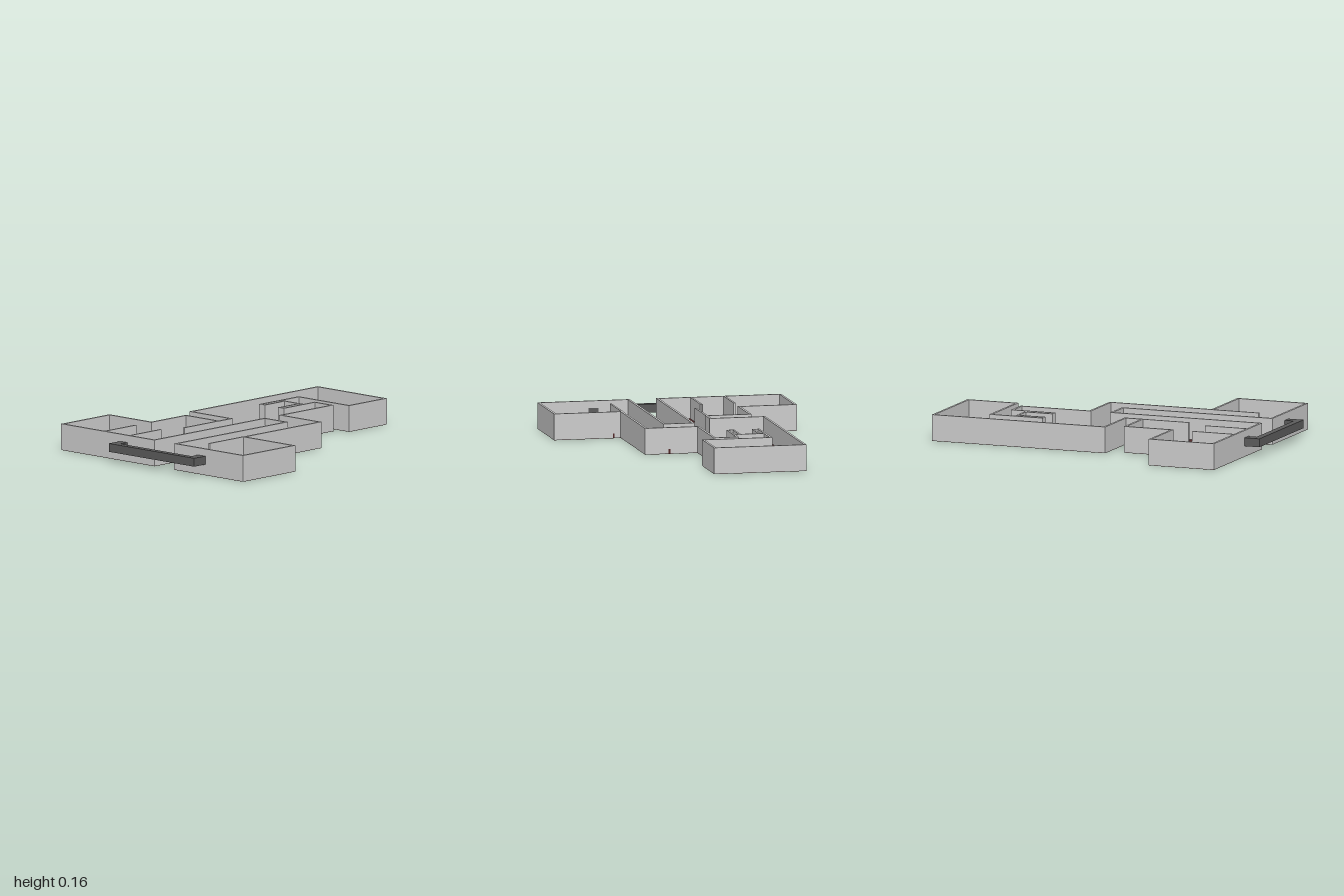
import * as THREE from 'three';

const H = 0.157, T = 0.014, FLOOR = 0.03;

// Outer footprint as [x, z], clockwise seen from above
const OUTLINE = [
  [-0.905, -0.735], [-0.492, -0.735], [-0.492, -0.396], [-0.196, -0.396], [-0.196, -0.133], [-0.103, -0.133],
  [-0.103, -0.457], [0.997, -0.457], [0.997, 0.1], [0.674, 0.1], [0.674, -0.306], [0.532, -0.306],
  [0.532, -0.133], [0.627, -0.133], [0.627, 0.019], [0.191, 0.019], [0.191, 0.334], [-0.457, 0.334],
  [-0.457, 0.735], [-0.905, 0.735], [-0.905, 0.178], [0.04, 0.178], [0.04, 0.019], [-0.905, 0.019],
];

// Moves every edge of the right-angled footprint inwards by d
function inset(points, d) {
  const n = points.length;
  const normal = (a, b) => [-Math.sign(b[1] - a[1]), Math.sign(b[0] - a[0])];
  return points.map((p, i) => {
    const a = normal(points[(i + n - 1) % n], p), b = normal(p, points[(i + 1) % n]);
    return [p[0] + d * (a[0] + b[0]), p[1] + d * (a[1] + b[1])];
  });
}

// Counter-clockwise points, so that extruded outlines and holes both face outwards
const toVectors = (points) => points.map(([x, z]) => new THREE.Vector2(x, -z)).reverse();

function extrudeUp(shape, y0, y1) {
  return new THREE.ExtrudeGeometry(shape, { depth: y1 - y0, bevelEnabled: false })
    .rotateX(-Math.PI / 2).translate(0, y0, 0);
}

export function createModel() {
  const model = new THREE.Group();
  const wallMat = new THREE.MeshStandardMaterial({ color: 0xcccccc });
  const floorMat = new THREE.MeshStandardMaterial({ color: 0x502626 });
  const ductMat = new THREE.MeshStandardMaterial({ color: 0x5c5c5c });

  function add(name, geometry, material, parent = model) {
    const mesh = new THREE.Mesh(geometry, material);
    mesh.name = name;
    parent.add(mesh);
    return mesh;
  }
  function box(name, [x0, x1], [y0, y1], [z0, z1], material, parent) {
    const mesh = add(name, new THREE.BoxGeometry(x1 - x0, y1 - y0, z1 - z0), material, parent);
    mesh.position.set((x0 + x1) / 2, (y0 + y1) / 2, (z0 + z1) / 2);
  }

  // Outer walls, and the floor slab reaching under them
  const ring = new THREE.Shape(toVectors(OUTLINE));
  ring.holes.push(new THREE.Path(toVectors(inset(OUTLINE, T))));
  add('outerWalls', extrudeUp(ring, 0.002, H), wallMat);
  add('floor', extrudeUp(new THREE.Shape(toVectors(inset(OUTLINE, 0.001))), 0, FLOOR), floorMat);

  // Partitions: x range, z range
  const partitions = new THREE.Group();
  partitions.name = 'partitions';
  model.add(partitions);
  [
    [[-0.892, -0.63], [-0.397, -0.385]],
    [[-0.892, -0.63], [-0.196, -0.184]],
    [[-0.5, -0.2], [-0.133, -0.121]],
    [[-0.76, -0.46], [0.317, 0.329]],
    // Two narrow alcoves beside the notch
    [[0.35, 0.535], [-0.32, -0.307]],
    [[0.35, 0.361], [-0.307, -0.285]],
    [[0.35, 0.52], [-0.285, -0.273]],
    [[0.35, 0.52], [-0.168, -0.156]],
    [[0.35, 0.361], [-0.156, -0.133]],
    [[0.35, 0.535], [-0.132, -0.12]],
  ].forEach(([x, z]) => box('partition', x, [0.01, H], z, wallMat, partitions));

  // Floor edges showing through the walls
  const edges = new THREE.Group();
  edges.name = 'floorEdges';
  model.add(edges);
  [
    [[0.16, 0.192], [0.181, 0.193]],
    [[-0.49, -0.456], [0.373, 0.381]],
    [[0.5, 0.534], [-0.305, -0.135]],
    [[0.5, 0.626], [-0.135, -0.12]],
  ].forEach(([x, z]) => box('floorEdge', x, [0.001, FLOOR - 0.001], z, floorMat, edges));

  // Duct linking the two wings
  const duct = new THREE.Group();
  duct.name = 'duct';
  model.add(duct);
  const dy = [0.064, 0.114];
  box('ductRun', [-1, -0.96], dy, [-0.2, 0.37], ductMat, duct);
  for (const z of [[-0.26, -0.2], [0.37, 0.43]]) box('ductEnd', [-1, -0.89], dy, z, ductMat, duct);

  return model;
}
